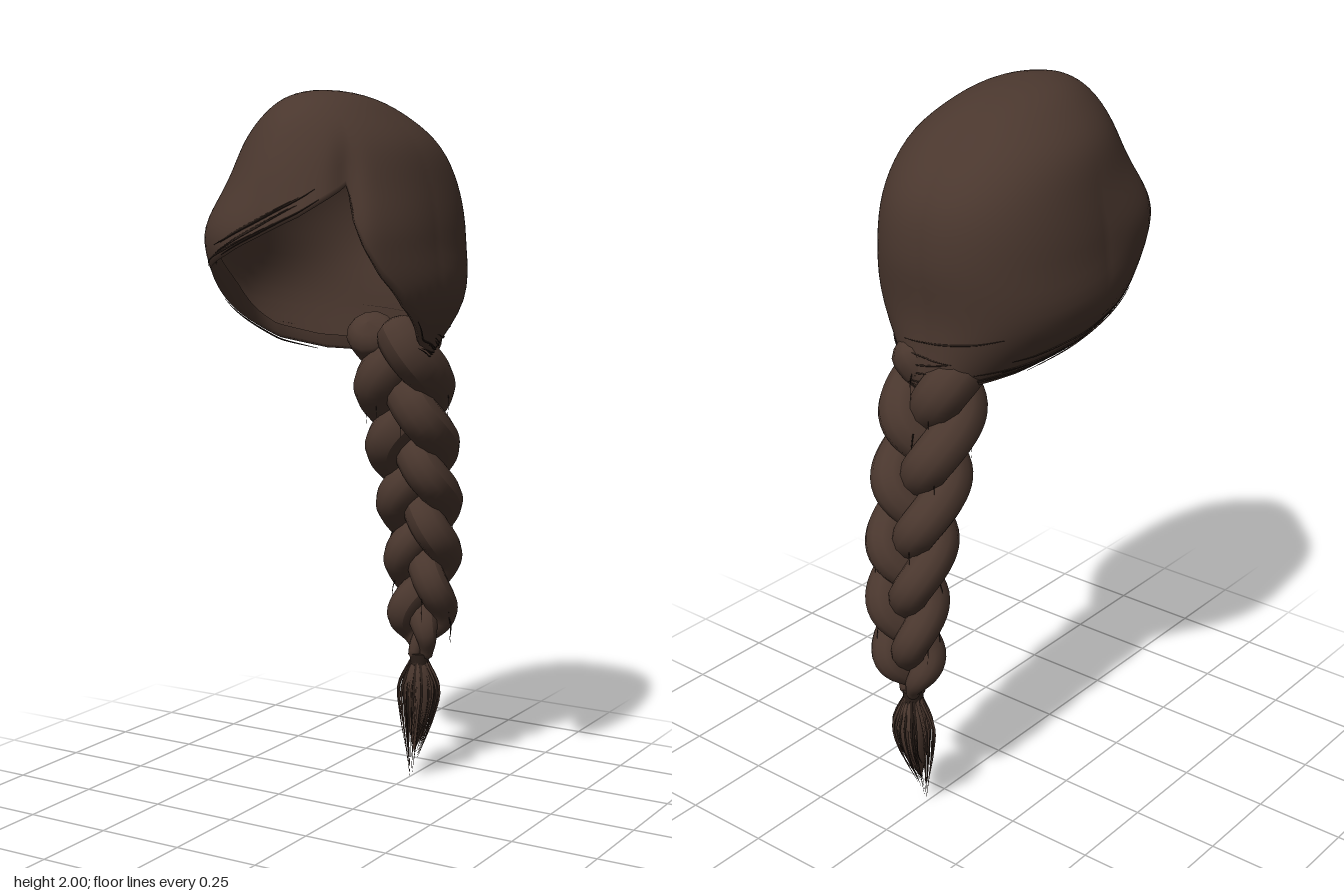
import * as THREE from 'three';

const hair = new THREE.MeshStandardMaterial({ color: 0x4a372e, side: THREE.DoubleSide });
hair.name = 'brown hair';
const dark = new THREE.MeshStandardMaterial({ color: 0x2c201a, side: THREE.DoubleSide });
dark.name = 'dark strands';

let seed = 7;
const rand = (a = 0, b = 1) => {
  seed = (seed * 16807) % 2147483647;
  return a + (b - a) * seed / 2147483647;
};
const V = (x, y, z) => new THREE.Vector3(x, y, z);
const gauss = (d, w) => Math.exp(-d * d / (w * w));
const wrap = deg => ((deg + 540) % 360) - 180;

function add(parent, name, geometry, material) {
  const mesh = new THREE.Mesh(geometry, material);
  mesh.name = name;
  parent.add(mesh);
  return mesh;
}

// Horizontal sections of the cap at y = 2 - (i / 8)^2: front z, back z, half width
const sections = new THREE.CatmullRomCurve3([
  V(0.15, 0.15, 0), V(0.255, 0.02, 0.095), V(0.335, -0.11, 0.17), V(0.39, -0.22, 0.24),
  V(0.435, -0.30, 0.275), V(0.465, -0.32, 0.298), V(0.44, -0.30, 0.295), V(0.40, -0.31, 0.13),
], false, 'catmullrom', 0.5);

// Height of the hair edge by angle from the front (degrees, +x positive)
const rim = [
  [-180, 1.27], [-150, 1.275], [-120, 1.295], [-95, 1.335], [-75, 1.41], [-60, 1.47], [-42, 1.54],
  [-20, 1.58], [0, 1.63], [20, 1.68], [38, 1.74], [43, 1.76], [46, 1.66], [50, 1.6], [57, 1.52],
  [70, 1.44], [95, 1.335], [120, 1.295], [150, 1.275], [180, 1.27],
];
function rimY(deg) {
  const d = wrap(deg);
  for (let i = 1; i < rim.length; i++) {
    const [a, y] = rim[i - 1], [b, y2] = rim[i];
    if (d <= b) return y + (y2 - y) * (d - a) / (b - a);
  }
  return 1.27;
}

// Point on the cap surface, moved outward by off
function surface(deg, y, off = 0) {
  const a = THREE.MathUtils.degToRad(deg), s = Math.sin(a), c = Math.cos(a);
  const p = sections.getPoint(Math.min(1, Math.sqrt(Math.max(0, 2 - y)) / 0.875));
  const zc = (p.x + p.y) / 2, h = (p.x - p.y) / 2;
  // The swept fringe bulges only near its lower edge
  const bulge = gauss(y - 1.63, 0.13);
  const fullness = c < 0 ? 0.06 : s < 0 ? -0.07 + 0.15 * bulge : -0.03 + 0.04 * bulge;
  const parting = 0.05 * gauss(wrap(deg) - 43, 7) * THREE.MathUtils.smoothstep(1.93 - y, 0, 0.15);
  const k = 1 + fullness * Math.abs(Math.sin(2 * a)) - parting;
  return V(s * (p.z * k + off), y, zc + c * (h * k + off));
}

// Open shell with a rolled inner lip, deeper at the sides of the face
function capGeometry() {
  const cols = 180, rows = 30, pos = [], index = [];
  for (let r = 0; r <= rows + 2; r++) {
    for (let c = 0; c < cols; c++) {
      const deg = c * 2 - 180, edge = rimY(deg), lip = Math.max(0, r - rows);
      const s = Math.min(1, r / rows);
      const y = 2 - (2 - edge) * Math.pow(s, 1.7) + lip * lip * 0.01;
      const depth = 0.012 + 0.012 * gauss(Math.abs(deg) - 65, 25);
      pos.push(...surface(deg, y, -depth * lip).toArray());
    }
  }
  for (let r = 0; r < rows + 2; r++) {
    for (let c = 0; c < cols; c++) {
      const n = (c + 1) % cols, a = r * cols + c, b = r * cols + n;
      index.push(a, a + cols, b, b, a + cols, b + cols);
    }
  }
  const g = new THREE.BufferGeometry();
  g.setAttribute('position', new THREE.Float32BufferAttribute(pos, 3));
  g.setIndex(index);
  g.computeVertexNormals();
  return g;
}

// Tube whose radius follows a rule along its length
function taperedTube(points, radiusAt, segments, sides) {
  const path = new THREE.CatmullRomCurve3(points);
  const g = new THREE.TubeGeometry(path, segments, 1, sides);
  const p = g.attributes.position, v = V(0, 0, 0);
  for (let i = 0; i <= segments; i++) {
    const centre = path.getPointAt(i / segments), r = radiusAt(i / segments);
    for (let j = 0; j <= sides; j++) {
      const k = i * (sides + 1) + j;
      v.fromBufferAttribute(p, k).sub(centre).multiplyScalar(r).add(centre);
      p.setXYZ(k, v.x, v.y, v.z);
    }
  }
  g.computeVertexNormals();
  return g;
}

// Loose strands that follow the edge of the cap
function edgeStrands(parent) {
  const strand = (start, span, lift, drift, r, name) => {
    const pts = [];
    for (let i = 0; i <= 10; i++) {
      const d = start + span * i / 10;
      pts.push(surface(d, rimY(d) + lift + drift * i / 10, 0.002));
    }
    add(parent, name, taperedTube(pts, t => r * Math.sin(Math.PI * (0.08 + 0.84 * t)), 20, 4), dark);
  };
  for (let i = 0; i < 7; i++) strand(rand(-45, -20), rand(35, 55), rand(0, 0.06), rand(-0.01, 0.02), 0.0025, 'fringeStrand');
  for (let i = 0; i < 16; i++) {
    const side = i % 2 ? 1 : -1;
    strand(side * rand(60, 110), side * rand(40, 65), rand(-0.012, 0.05), rand(-0.01, 0.03), 0.0025, 'sideStrand');
  }
  for (let i = 0; i < 8; i++) strand(rand(125, 170), rand(25, 60), rand(0, 0.13), rand(-0.03, 0.03), 0.0025, 'napeStrand');
}

// Centre line and size of the braid, t = 0 at the nape, 1 at the tie
const spine = new THREE.CatmullRomCurve3([
  V(0.02, 1.37, -0.2), V(0.022, 1.2, -0.245), V(0.022, 1.0, -0.3), V(0.02, 0.75, -0.36),
  V(0.018, 0.55, -0.372), V(0.018, 0.36, -0.355),
]);
const braidSize = t => (1 - 0.38 * t) * (1 - 0.6 * THREE.MathUtils.smoothstep(t, 0.88, 1));

function braid(parent) {
  const turns = 1.75;
  for (let k = 0; k < 3; k++) {
    const pts = [];
    for (let i = 0; i <= 60; i++) {
      const t = i / 60, s = braidSize(t) * (1 + 0.12 * Math.sin(Math.PI * t));
      const phase = 2 * Math.PI * (turns * (t + 0.12 * t * t) + k / 3);
      const c = spine.getPointAt(t);
      pts.push(V(c.x + 0.08 * s * Math.sin(phase), c.y, c.z + 0.046 * s * Math.sin(2 * phase)));
    }
    const radius = t => 0.071 * braidSize(t) * Math.sqrt(Math.min(1, t / 0.03, (1 - t) / 0.01 + 0.1));
    add(parent, 'braidStrand', taperedTube(pts, radius, 110, 12), hair);
  }
  // Short flyaway hairs along the sides
  for (let i = 0; i < 24; i++) {
    const t = rand(0.05, 0.9), c = spine.getPointAt(t), s = braidSize(t), a = rand(0, Math.PI * 2);
    const at = (w, dy) => V(c.x + 0.14 * s * w * Math.cos(a), c.y + dy, c.z + 0.095 * s * w * Math.sin(a));
    add(parent, 'flyaway', taperedTube([at(0.9, 0.04), at(1.02, 0), at(1, -0.06)], q => 0.002 * (1.1 - q), 6, 3), dark);
  }
}

function tuft(parent) {
  // Wrapped tie
  const tie = add(parent, 'tie', new THREE.CylinderGeometry(0.03, 0.027, 0.035, 14), dark);
  tie.position.set(0.018, 0.362, -0.355);
  // Solid heart of the loose end
  const heart = [V(0.018, 0.36, -0.355), V(0.017, 0.26, -0.358), V(0.014, 0.16, -0.35), V(0.012, 0.08, -0.335)];
  add(parent, 'tuftHeart', taperedTube(heart, t => 0.02 * (1 - t) + 0.034 * Math.sin(Math.PI * Math.pow(t, 0.75)), 18, 10), hair);
  // Loose hairs gathering to a point
  for (let i = 0; i < 46; i++) {
    const a = rand(0, Math.PI * 2), w = rand(0.75, 1.1), end = i < 6 ? rand(0, 0.04) : rand(0.05, 0.16);
    const x = Math.cos(a) * w, z = Math.sin(a) * w, pull = Math.min(1, 0.1 + end * 4);
    const pts = [
      V(0.018 + 0.02 * x, 0.36, -0.355 + 0.02 * z),
      V(0.017 + 0.06 * x, 0.275, -0.358 + 0.046 * z),
      V(0.014 + 0.05 * x, 0.19, -0.352 + 0.04 * z),
      V(0.012 + 0.045 * x * pull, end, -0.32 - 0.02 * pull + 0.04 * z * pull),
    ];
    add(parent, 'tuftHair', taperedTube(pts, t => 0.0055 * (1.05 - t), 14, 4), i % 3 ? hair : dark);
  }
}

export function createModel() {
  const model = new THREE.Group();
  model.name = 'braidedHair';
  const part = (name, build) => {
    const group = new THREE.Group();
    group.name = name;
    build(group);
    model.add(group);
  };
  add(model, 'hairCap', capGeometry(), hair);
  part('edgeStrands', edgeStrands);
  part('braid', braid);
  part('tuft', tuft);
  return model;
}
